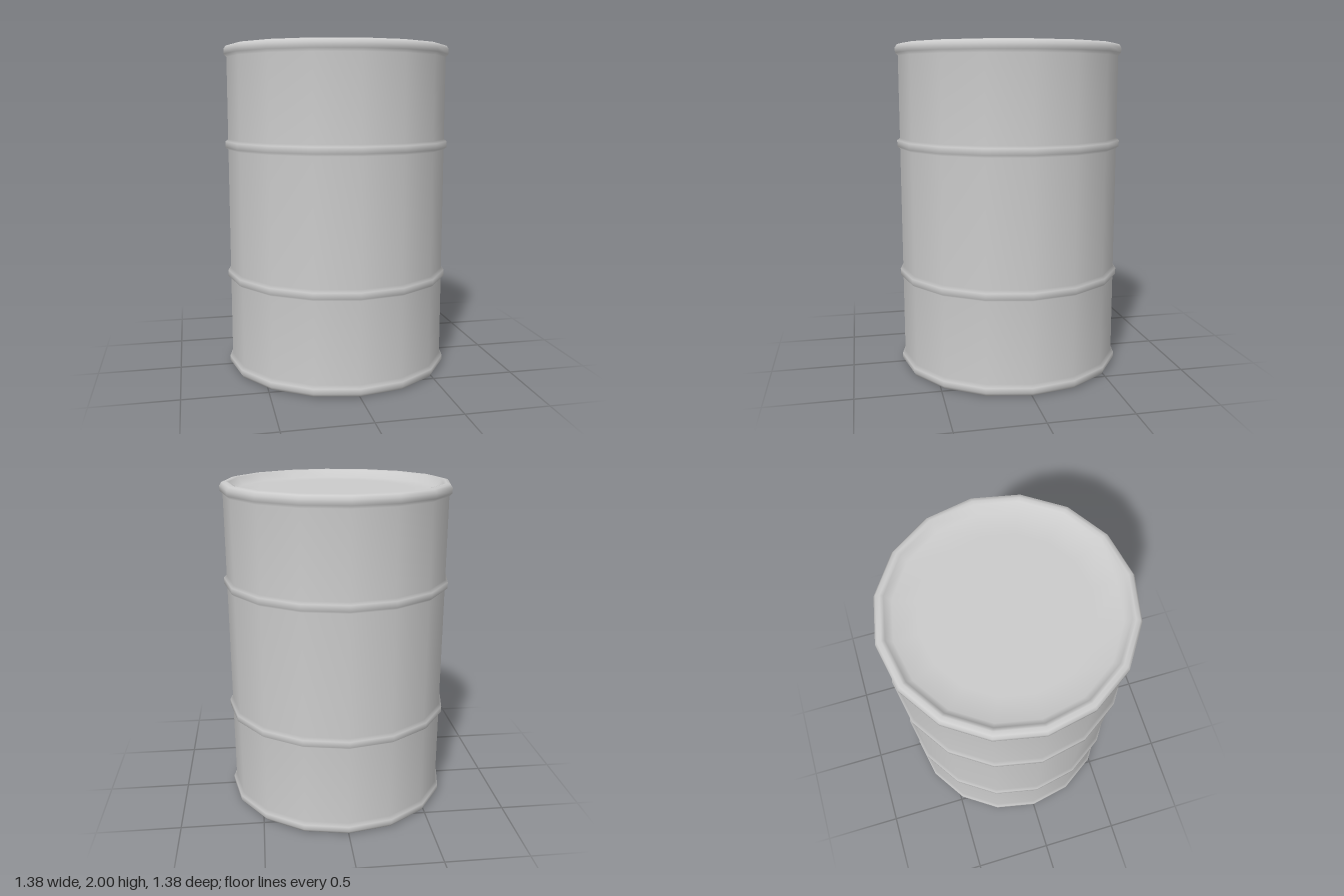
import * as THREE from 'three';

const SIDES = 16;
const HEIGHT = 2;
const BODY_R = 0.673;
const RIB_R = 0.69;

export function createModel() {
  const group = new THREE.Group();
  group.name = 'barrel';

  // Lower half of the profile, from the bottom centre up to the lower rib
  const half = [
    [0, 0.05], [0.46, 0.05], [0.6, 0.05],                           // recessed end panel
    [0.635, 0.005], [0.655, 0],                                     // lip
    [0.677, 0.006], [RIB_R, 0.025], [RIB_R, 0.055], [BODY_R, 0.073], // rolled rim
    [BODY_R, 0.565], [RIB_R, 0.578], [RIB_R, 0.615], [BODY_R, 0.63], // hoop rib
  ];

  // Mirror it for the upper half
  const profile = [
    ...half,
    ...half.map(([r, y]) => [r, HEIGHT - y]).reverse(),
  ].map(([r, y]) => new THREE.Vector2(r, y));

  // One continuous smooth shell: end panels, rims, ribs and wall
  const shell = new THREE.Mesh(
    new THREE.LatheGeometry(profile, SIDES),
    new THREE.MeshStandardMaterial({ color: 0xcccccc })
  );
  shell.name = 'barrelShell';
  group.add(shell);

  return group;
}
